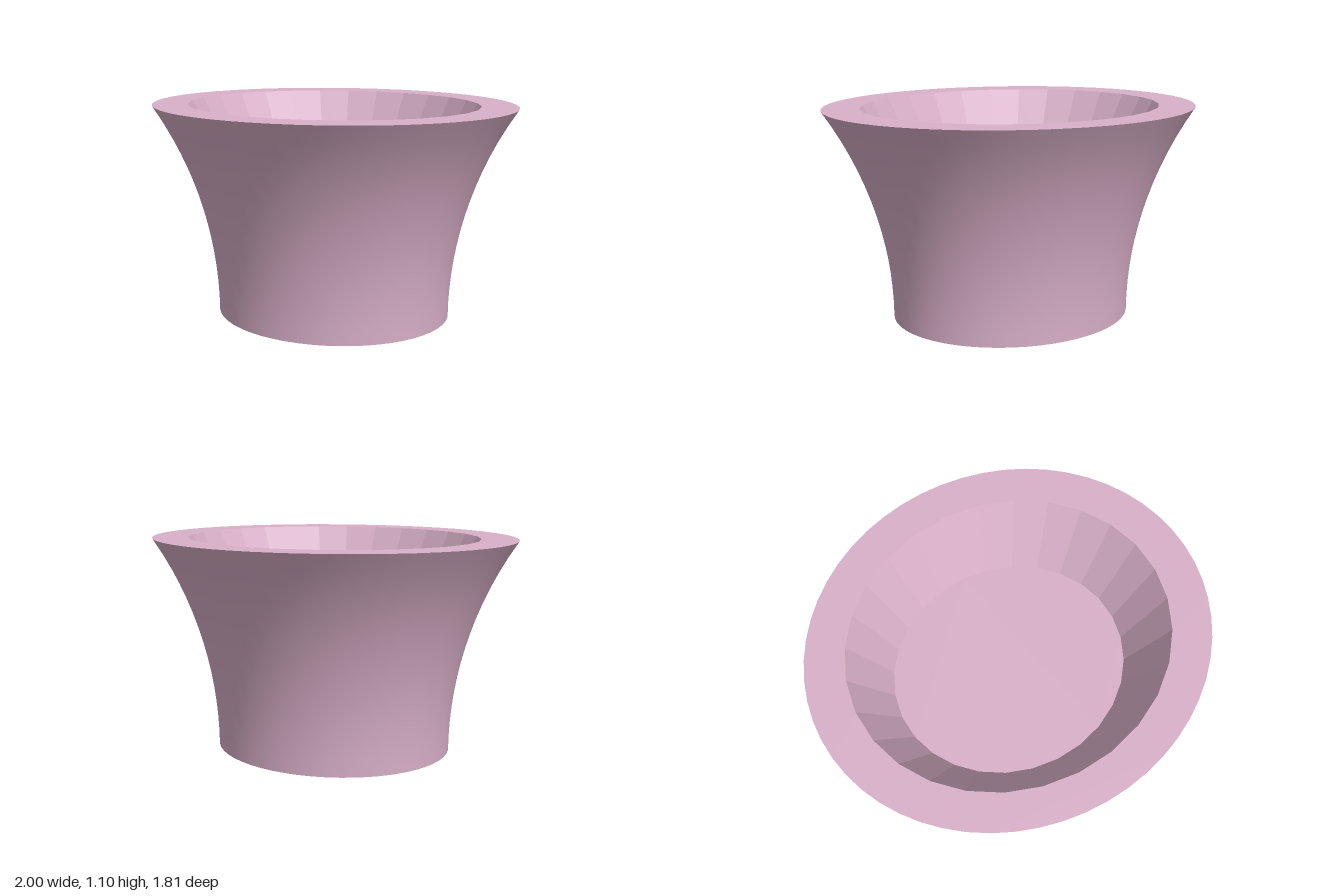
import * as THREE from 'three';

const HEIGHT = 1.1, FLOOR_Y = 0.735, DEPTH = 0.905; // DEPTH: z squash of the oval plan
const OUTER_SIDES = 56, INNER_SIDES = 28;
const v2 = (x, y) => new THREE.Vector2(x, y);

// Points of a regular ring with flats facing the axes
function ring(radius, sides) {
  const r = radius / Math.cos(Math.PI / sides);
  return Array.from({ length: sides }, (_, i) => {
    const a = ((i + 0.5) / sides) * Math.PI * 2;
    return v2(r * Math.cos(a), r * Math.sin(a));
  });
}

// Horizontal disc at height y, optionally with an opening, facing up or down
function disc(points, y, up = true, hole = null) {
  const shape = new THREE.Shape(points);
  if (hole) shape.holes.push(new THREE.Path(hole));
  return new THREE.ShapeGeometry(shape).rotateX(up ? -Math.PI / 2 : Math.PI / 2).translate(0, y, 0);
}

// Wall of revolution with flats facing the axes
function wall(profile, sides) {
  const k = 1 / Math.cos(Math.PI / sides);
  return new THREE.LatheGeometry(profile.map(p => v2(p.x * k, p.y)), sides, Math.PI / sides);
}

export function createModel() {
  const group = new THREE.Group();
  group.name = 'flaredBowl';
  const smooth = new THREE.MeshStandardMaterial({ color: 0xd9b0c8 });
  const faceted = new THREE.MeshStandardMaterial({ color: 0xd9b0c8, flatShading: true });

  const add = (name, geometry, material) => {
    geometry.scale(1, 1, DEPTH);
    const mesh = new THREE.Mesh(geometry, material);
    mesh.name = name;
    group.add(mesh);
  };

  // Outer wall: an arc, upright at the foot and flaring to the rim
  const foot = 0.65, top = 1;
  const flare = top - foot;
  const R = (HEIGHT ** 2 + flare ** 2) / (2 * flare);
  const profile = Array.from({ length: 15 }, (_, i) => {
    const y = (HEIGHT * i) / 14;
    return v2(foot + R - Math.sqrt(R * R - y * y), y);
  });
  const outer = wall(profile, OUTER_SIDES);
  outer.scale(1, 1, 1);
  add('outerWall', outer, smooth);

  // Flat rim around the opening, and the solid underside
  add('rim', disc(ring(top, OUTER_SIDES), HEIGHT, true, ring(0.8, INNER_SIDES)), faceted);
  add('underside', disc(ring(foot, OUTER_SIDES), 0, false), faceted);

  // Tapered basin, listed top to bottom so that it faces inward
  add('basinWall', wall([v2(0.8, HEIGHT), v2(0.6, FLOOR_Y)], INNER_SIDES), faceted);
  add('basinFloor', disc(ring(0.6, INNER_SIDES), FLOOR_Y), faceted);

  return group;
}
